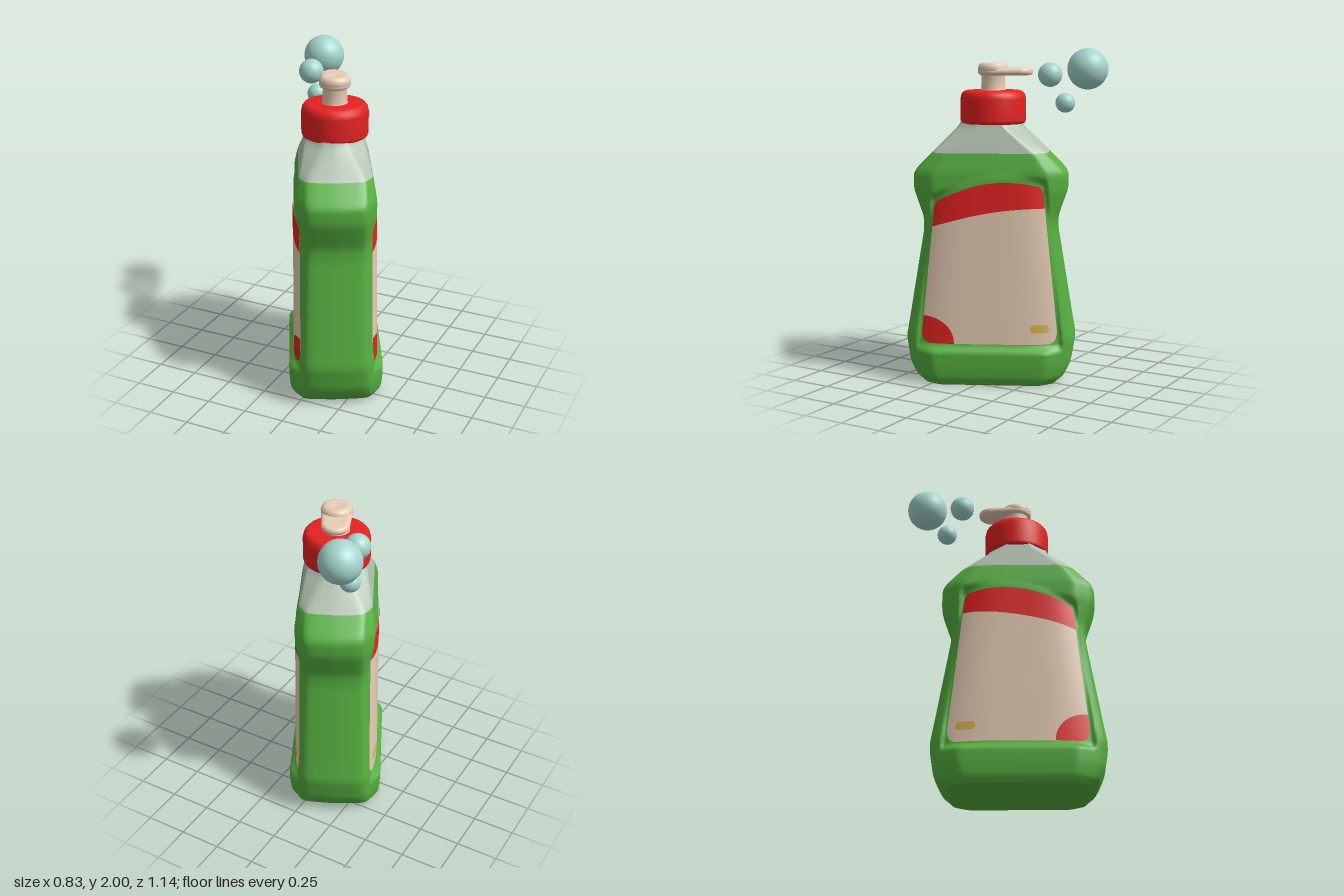
import * as THREE from 'three';

const mat = (name, color) => Object.assign(new THREE.MeshStandardMaterial({ color }), { name });
const { lerp, smoothstep } = THREE.MathUtils;

// Body sections: height, half length, half width of the end face, half width, half length of the side
const SECTIONS = [
  [0, 0.375, 0.19, 0.25, 0.29],
  [0.03, 0.436, 0.195, 0.274, 0.325],
  [0.12, 0.482, 0.19, 0.283, 0.342],
  [0.27, 0.506, 0.182, 0.285, 0.346],
  [0.4, 0.483, 0.178, 0.252, 0.36],
  [0.92, 0.397, 0.162, 0.212, 0.33],
  [1.0, 0.397, 0.162, 0.212, 0.33],
  [1.17, 0.456, 0.165, 0.236, 0.34],
  [1.27, 0.456, 0.165, 0.236, 0.34],
  [1.39, 0.338, 0.165, 0.214, 0.26],
  [1.55, 0.177, 0.07, 0.172, 0.07],
  [1.6, 0.165, 0.07, 0.165, 0.07],
];

function sectionAt(y) {
  const t = Math.min(Math.max(y, 0), 1.6);
  let i = 0;
  while (i < SECTIONS.length - 2 && t > SECTIONS[i + 1][0]) i++;
  const a = SECTIONS[i], b = SECTIONS[i + 1];
  const f = (t - a[0]) / (b[0] - a[0]);
  return a.map((v, k) => lerp(v, b[k], f));
}

// Average neighbouring heights so the profile bends softly
function softSection(y) {
  const s = [-0.024, -0.012, 0, 0.012, 0.024].map((d) => sectionAt(y + d));
  return s[0].map((_, k) => s.reduce((sum, r) => sum + r[k], 0) / s.length);
}

// Label panel: bowed outwards, leaning inwards, narrowing to a lopsided arched top
const panelHalf = (y) => 0.412 - 0.098 * (y - 0.25) / 0.95;
const panelX = (y, z) => 0.212 - 0.009 * (y - 0.25) / 0.95 + 0.04 * (1 - (z / panelHalf(y)) ** 4);
const panelTop = (z) => 1.22 - 0.68 * (z + 0.1) ** 2;

function ring(y) {
  const [, L, e, W, m] = softSection(y);
  // The end faces have a faint ridge down the middle
  const r = L + 0.012;
  const corners = [[0, r], [e, L], [W, m], [W, -m], [e, -L], [0, -r], [-e, -L], [-W, -m], [-W, m], [-e, L]];
  const counts = [8, 14, 60, 14, 8, 8, 14, 60, 14, 8];
  let pts = [];
  corners.forEach((c, i) => {
    const d = corners[(i + 1) % corners.length];
    for (let k = 0; k < counts[i]; k++) {
      pts.push([lerp(c[0], d[0], k / counts[i]), lerp(c[1], d[1], k / counts[i])]);
    }
  });
  // Round the corners
  for (let pass = 0; pass < 6; pass++) {
    const n = pts.length;
    pts = pts.map((p, i) => p.map((v, k) => (pts[(i + n - 1) % n][k] + 2 * v + pts[(i + 1) % n][k]) / 4));
  }
  // Press the bowed label panels into the sides
  return pts.map(([x, z]) => {
    const w = panelHalf(y), top = panelTop(z);
    const mask = (1 - smoothstep(Math.abs(z), w + 0.006, w + 0.03))
      * smoothstep(y, 0.195, 0.245) * (1 - smoothstep(y, top + 0.01, top + 0.06));
    return [mask > 0 ? Math.sign(x) * lerp(Math.abs(x), panelX(y, z), mask) : x, z];
  });
}

function bodyGeometry() {
  const pos = [0, 0, 0], idx = [], rows = 128, split = 111;
  let n = 0;
  for (let i = 0; i <= rows; i++) {
    const r = ring(i * 0.0125);
    n = r.length;
    r.forEach(([x, z]) => pos.push(x, i * 0.0125, z));
  }
  for (let j = 0; j < n; j++) idx.push(0, 1 + (j + 1) % n, 1 + j);
  for (let i = 0; i < rows; i++) {
    for (let j = 0; j < n; j++) {
      const a = 1 + i * n + j, b = 1 + i * n + (j + 1) % n;
      idx.push(a, b, b + n, a, b + n, a + n);
    }
  }
  const g = new THREE.BufferGeometry();
  g.setAttribute('position', new THREE.Float32BufferAttribute(pos, 3));
  g.setIndex(idx);
  const greenCount = 3 * n + 6 * n * split;
  g.addGroup(0, greenCount, 0);
  g.addGroup(greenCount, idx.length - greenCount, 1);
  g.computeVertexNormals();
  return g;
}

// Thin plate on a label panel between two edge curves; s runs from -1 (back) to 1 (front)
function plate({ from, to, low, high, offset }, side) {
  const g = new THREE.PlaneGeometry(1, 1, 60, 16);
  const p = g.attributes.position;
  for (let i = 0; i < p.count; i++) {
    const s = lerp(from, to, p.getX(i) + 0.5);
    const y = lerp(low(s), high(s), p.getY(i) + 0.5);
    const z = s * panelHalf(y);
    p.setXYZ(i, side * (panelX(y, z) + offset), y, z);
  }
  if (side > 0) g.setIndex(Array.from(g.index.array).reverse());
  g.computeVertexNormals();
  return g;
}

const arc = (k) => Math.sqrt(Math.max(0, 1 - k * k));
const labelLow = (s) => 0.25 + 0.07 * (1 - arc(Math.max(0, (Math.abs(s) - 0.84) / 0.16)));
const labelHigh = (s) => panelTop(s * 0.32) - 0.03 * (1 - arc(Math.max(0, (Math.abs(s) - 0.92) / 0.08)));
const badge = (s) => 0.025 * arc(((s + 0.745) / 0.14) ** 3);
const PLATES = {
  Label: { from: -1, to: 1, low: labelLow, high: labelHigh, offset: 0.004 },
  LabelBand: { from: -1, to: 1, low: (s) => 1.065 - 0.28 * (s * 0.335 + 0.3) ** 2, high: labelHigh, offset: 0.006 },
  LabelCorner: { from: 0.51, to: 1, low: labelLow, high: (s) => 0.25 + 0.165 * arc((1 - s) / 0.49), offset: 0.006 },
  LabelBadge: { from: -0.885, to: -0.605, low: (s) => 0.345 - badge(s), high: (s) => 0.345 + badge(s), offset: 0.006 },
};

const lathe = (pts) => new THREE.LatheGeometry(pts.map(([x, y]) => new THREE.Vector2(x, y)), 48);

export function createModel() {
  const green = mat('green plastic', 0x56b040);
  const clear = mat('pale grey plastic', 0xb2c2b2);
  const red = mat('red', 0xe62222);
  const tan = mat('cream', 0xe7cdb5);
  const yellow = mat('yellow', 0xd8b650);
  const aqua = mat('bubble aqua', 0xa6d6ce);

  const model = new THREE.Group();
  model.name = 'soapBottle';

  const addGroup = (name, x, z) => {
    const g = new THREE.Group();
    g.name = name;
    g.position.set(x, 0, z);
    g.rotation.y = THREE.MathUtils.degToRad(27);
    model.add(g);
    return g;
  };
  const add = (parent, name, geometry, material) => {
    const m = new THREE.Mesh(geometry, material);
    m.name = name;
    parent.add(m);
    return m;
  };

  const bottle = addGroup('bottle', 0.01, 0.046);
  add(bottle, 'body', bodyGeometry(), [green, clear]);

  // Labels on both broad sides
  const plateColors = { Label: tan, LabelBand: red, LabelCorner: red, LabelBadge: yellow };
  for (const [side, word] of [[1, 'left'], [-1, 'right']]) {
    for (const part in PLATES) add(bottle, word + part, plate(PLATES[part], side), plateColors[part]);
  }

  // Screw cap
  const pump = addGroup('pump', 0.01, 0.035);
  add(pump, 'cap', lathe([[0.14, 1.555], [0.18, 1.553], [0.192, 1.56], [0.197, 1.575], [0.197, 1.7],
    [0.191, 1.728], [0.177, 1.745], [0.155, 1.752], [0, 1.752]]), red);

  // Pump stem with flared head
  add(pump, 'pumpStem', lathe([[0.08, 1.745], [0.072, 1.76], [0.07, 1.835], [0.08, 1.85], [0.091, 1.866],
    [0.092, 1.886], [0.084, 1.904], [0.066, 1.914], [0.045, 1.911], [0, 1.906]]), tan);

  // Flat rounded spout pointing backwards, widening into the head
  const tongue = new THREE.Shape();
  tongue.absarc(0, 0.157, 0.059, 0, Math.PI);
  tongue.absarc(0, 0, 0.069, Math.PI, Math.PI * 2);
  const spout = new THREE.ExtrudeGeometry(tongue, {
    depth: 0.004, bevelThickness: 0.02, bevelSize: 0.022, bevelSegments: 5, curveSegments: 20,
  });
  spout.rotateX(-Math.PI / 2);
  spout.translate(0, 1.86, 0);
  add(pump, 'spout', spout, tan);

  // Floating bubbles
  const bubbles = [[-0.288, 1.877, -0.447, 0.123], [-0.26, 1.84, -0.207, 0.074], [-0.27, 1.672, -0.307, 0.06]];
  bubbles.forEach(([x, y, z, r], i) => {
    add(model, 'bubble' + (i + 1), new THREE.SphereGeometry(r, 32, 24), aqua).position.set(x, y, z);
  });

  return model;
}
